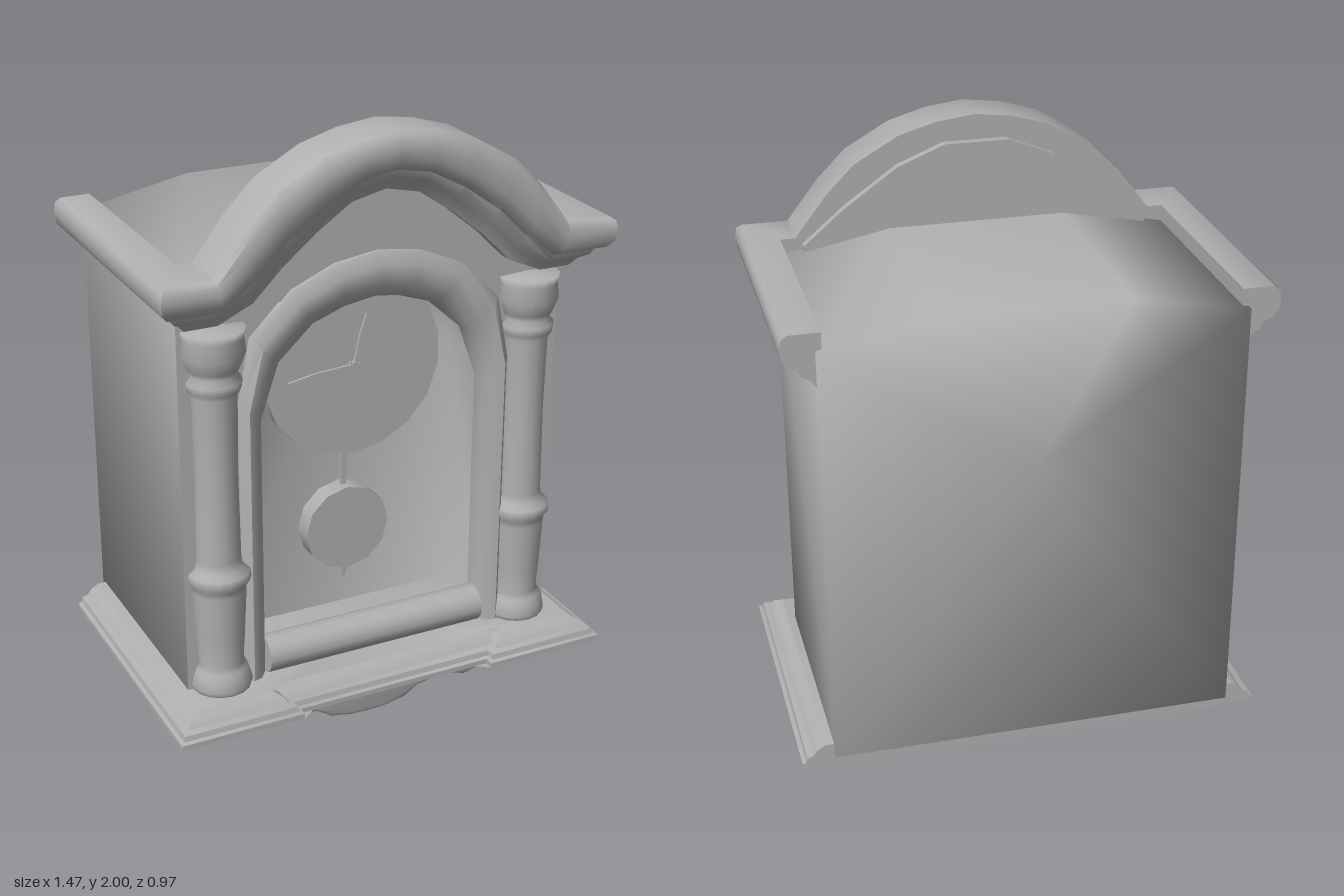
import * as THREE from 'three';
import { toCreasedNormals } from 'three/addons/utils/BufferGeometryUtils.js';

const wood = new THREE.MeshStandardMaterial({ color: 0xb0b0b0, side: THREE.DoubleSide });
wood.name = 'grey';

// Skin closed rings of [x, y, z] points; caps are fans from the ring centre.
function loft(rings, { capStart = true, capEnd = true, crease = 0.6 } = {}) {
  const n = rings[0].length, pos = rings.flat(2), index = [];
  for (let i = 0; i < rings.length - 1; i++) {
    for (let j = 0; j < n; j++) {
      const k = (j + 1) % n, a = i * n + j, b = i * n + k;
      index.push(a, b, b + n, a, b + n, a + n);
    }
  }
  const cap = (i, flip) => {
    const centre = pos.length / 3;
    for (let c = 0; c < 3; c++) pos.push(rings[i].reduce((s, p) => s + p[c], 0) / n);
    for (let j = 0; j < n; j++) {
      const a = i * n + j, b = i * n + (j + 1) % n;
      index.push(centre, flip ? b : a, flip ? a : b);
    }
  };
  if (capStart) cap(0, true);
  if (capEnd) cap(rings.length - 1, false);
  const g = new THREE.BufferGeometry();
  g.setAttribute('position', new THREE.Float32BufferAttribute(pos, 3));
  g.setIndex(index);
  g.computeVertexNormals();
  return crease ? toCreasedNormals(g, crease) : g;
}

// Half stations [outerX, outerY, innerX, innerY] on +x, ending at x = 0, made into a full left-right run
const mirrorRun = half => [
  ...half.map(([a, b, c, d]) => [-a, b, -c, d]),
  ...half.slice(0, -1).reverse(),
];
const mix = ([ox, oy, ix, iy], t) => [ox + (ix - ox) * t, oy + (iy - oy) * t];
const shapeOf = pts => new THREE.Shape(pts.map(p => new THREE.Vector2(...p)));

export function createModel() {
  const group = new THREE.Group();
  group.name = 'mantelClock';
  const add = (name, geometry, x = 0, y = 0, z = 0) => {
    const m = new THREE.Mesh(geometry, wood);
    m.name = name;
    m.position.set(x, y, z);
    group.add(m);
    return m;
  };

  // Case: softly shaded shell with a shallow hipped top
  const outline = [[-0.635, 0.24], [0.635, 0.24], [0.635, 1.595], [0.28, 1.665], [-0.28, 1.665], [-0.635, 1.595]];
  add('caseShell', loft([-0.483, 0.29].map(z => outline.map(p => [...p, z])), { capEnd: false, crease: 0 }));

  // Arched door opening
  const arch = mirrorRun([
    [0.45, 0.27, 0.37, 0.27], [0.45, 1.2, 0.37, 1.13], [0.41, 1.4, 0.31, 1.3],
    [0.28, 1.53, 0.2, 1.4], [0.14, 1.59, 0.1, 1.435], [0, 1.61, 0, 1.45],
  ]);
  const opening = arch.map(s => mix(s, 0.5));
  const front = shapeOf(outline);
  front.holes.push(shapeOf(opening));
  add('caseFront', new THREE.ShapeGeometry(front), 0, 0, 0.29);

  // Recess behind the door
  const hole = [...opening].reverse();
  add('recess', loft([0.29, 0].map(z => hole.map(p => [...p, z])), { capStart: false, crease: 0 }));

  // Rounded moulding around the opening
  const archSection = [[0, 0.27], [0, 0.31], [0.25, 0.335], [0.6, 0.325], [0.9, 0.295], [1, 0.25]];
  add('archMoulding', loft(arch.map(s => archSection.map(([t, z]) => [...mix(s, t), z])), { crease: 0.9 }));

  // Rolled sill at the bottom of the opening
  const sill = add('sill', new THREE.CylinderGeometry(0.06, 0.06, 0.75, 14), 0, 0.33, 0.28);
  sill.rotation.z = Math.PI / 2;

  // Cornice: runs along one side, arches over the front, returns along the other side
  const section = [
    [0, -0.065], [0, 0.095], [0.08, 0.113], [0.25, 0.118], [0.45, 0.113], [0.58, 0.095],
    [0.63, 0.07], [0.76, 0.06], [0.84, 0.035], [1, 0.015], [1, -0.065],
  ];
  const cornice = mirrorRun([
    [0.57, 1.65, 0.53, 1.48], [0.47, 1.78, 0.42, 1.53], [0.38, 1.87, 0.33, 1.62],
    [0.24, 1.95, 0.22, 1.71], [0.12, 1.985, 0.11, 1.785], [0, 2, 0, 1.81],
  ]).map(s => section.map(([t, d]) => [...mix(s, t), 0.335 + d]));
  const side = (sign, z) => section.map(([t, d]) =>
    [sign * (0.617 + Math.max(d, 0)), 1.65 - 0.17 * t, z ?? 0.335 + d]);
  add('cornice', loft([side(-1, -0.46), side(-1), ...cornice, side(1), side(1, -0.46)], { crease: 0.8 }));

  // Arched board behind the cornice
  const board = shapeOf([[-0.55, 1.5], [0.55, 1.5], [0.55, 1.63], [0.42, 1.74], [0.25, 1.86], [0.1, 1.92],
    [-0.1, 1.92], [-0.25, 1.86], [-0.42, 1.74], [-0.55, 1.63]]);
  add('pedimentBoard', new THREE.ExtrudeGeometry(board, { depth: 0.055, bevelEnabled: false }), 0, 0, 0.243);

  // Stepped base with projecting blocks under the columns
  const baseRing = (y, i) => [
    [0.735 - i, y, 0.485 - i], [0.735 - i, y, -0.46], [-0.735 + i, y, -0.46], [-0.735 + i, y, 0.485 - i],
    [-0.33 - i, y, 0.485 - i], [-0.33 - i, y, 0.455 - i], [0.33 + i, y, 0.455 - i], [0.33 + i, y, 0.485 - i],
  ];
  const steps = [[0.2, 0], [0.216, 0], [0.22, 0.012], [0.236, 0.016], [0.242, 0.035], [0.262, 0.05], [0.275, 0.075]];
  add('base', loft(steps.map(s => baseRing(...s)), { crease: 0.5 }));
  add('caseFloor', new THREE.BoxGeometry(1.27, 0.04, 0.04), 0, 0.23, -0.462);

  // Scalloped apron below the base
  const curve = [[0.625, 0.11], [0.6, 0.07], [0.55, 0.052], [0.48, 0.06], [0.42, 0.075], [0.36, 0.057],
    [0.3, 0.075], [0.24, 0.072], [0.18, 0.062], [0.13, 0.03], [0.06, 0.016]];
  const apron = shapeOf([[0.625, 0.21], [-0.625, 0.21], ...curve.map(([x, y]) => [-x, y]), [0, 0.014],
    ...[...curve].reverse()]);
  const apronGeo = new THREE.ExtrudeGeometry(apron, {
    depth: 0.05, bevelEnabled: true, bevelSize: 0.012, bevelThickness: 0.014, bevelSegments: 2,
  });
  add('apron', toCreasedNormals(apronGeo, 0.9), 0, 0, 0.205);

  // Turned columns
  const turned = [
    [0, 0.265], [0.09, 0.265], [0.098, 0.29], [0.09, 0.32], [0.082, 0.345], [0.07, 0.36], [0.076, 0.45],
    [0.084, 0.61], [0.085, 0.63], [0.1, 0.65], [0.096, 0.675], [0.075, 0.69], [0.07, 0.72], [0.066, 1],
    [0.07, 1.25], [0.082, 1.27], [0.086, 1.295], [0.07, 1.315], [0.08, 1.335], [0.098, 1.38], [0.092, 1.43],
    [0.098, 1.455], [0, 1.46],
  ].map(p => new THREE.Vector2(...p));
  for (const s of [-1, 1]) {
    add(s > 0 ? 'leftColumn' : 'rightColumn', new THREE.LatheGeometry(turned, 16), s * 0.525, 0, 0.292);
  }

  // Dial, pendulum rod and bob
  const disc = (name, r, depth, sides, y, z) => {
    add(name, new THREE.CylinderGeometry(r, r, depth, sides), 0, y, z).rotation.x = Math.PI / 2;
  };
  disc('dial', 0.302, 0.03, 18, 1.19, 0.13);
  disc('pendulumBob', 0.145, 0.065, 12, 0.607, 0.078);
  add('pendulumRod', new THREE.BoxGeometry(0.016, 0.55, 0.016), 0, 0.695, 0.075);
  const tip = add('pendulumTip', new THREE.ConeGeometry(0.012, 0.06, 6), 0, 0.44, 0.078);
  tip.rotation.x = Math.PI;

  // Tapered hands
  const hand = (name, x, y, w) => {
    const length = Math.hypot(x, y);
    const blade = shapeOf([[-w * 0.5, -0.02], [w * 0.5, -0.02], [w, length * 0.6], [0, length], [-w, length * 0.6]]);
    const m = add(name, new THREE.ExtrudeGeometry(blade, { depth: 0.008, bevelEnabled: false }), 0, 1.19, 0.15);
    m.rotation.z = Math.atan2(-x, y);
  };
  hand('minuteHand', -0.225, -0.02, 0.008);
  hand('hourHand', 0.13, -0.1, 0.009);
  hand('secondHand', 0.04, 0.165, 0.007);
  disc('handHub', 0.013, 0.02, 10, 1.19, 0.152);

  return group;
}
